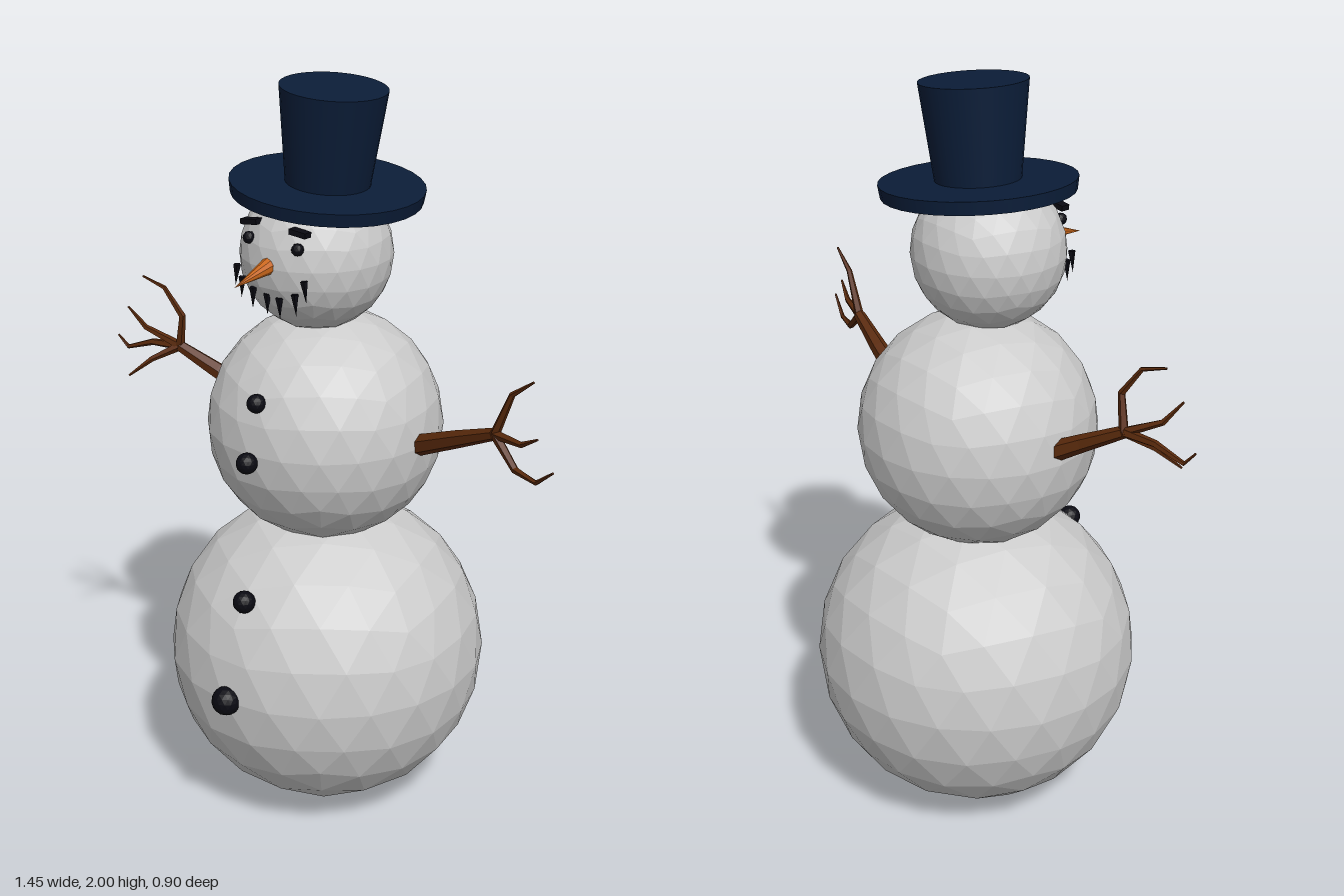
import * as THREE from 'three';

const mat = (color, flatShading = true) => new THREE.MeshStandardMaterial({ color, flatShading });
const snow = mat(0xcccccc), coal = mat(0x0a0a12), wood = mat(0x5a2a0c);
const carrot = mat(0xc8661a), felt = mat(0x0b1d38, false);

function add(parent, name, geometry, material, x = 0, y = 0, z = 0) {
  const mesh = new THREE.Mesh(geometry, material);
  mesh.name = name;
  mesh.position.set(x, y, z);
  parent.add(mesh);
  return mesh;
}

// Faceted ball with one corner at the very top
function ball(radius, detail) {
  const g = new THREE.IcosahedronGeometry(radius, detail);
  return g.rotateX(-Math.atan2((1 + Math.sqrt(5)) / 2, 1));
}

// Tapered six-sided twig through points [x, y, z, radius]
function twig(points, sides = 6) {
  const p = points.map(a => new THREE.Vector3(a[0], a[1], a[2]));
  const pos = [], index = [], n = p.length;
  p.forEach((c, i) => {
    const t = p[Math.min(i + 1, n - 1)].clone().sub(p[Math.max(i - 1, 0)]).normalize();
    const u = new THREE.Vector3(0, 0, 1).cross(t).normalize();
    const v = t.clone().cross(u);
    for (let k = 0; k < sides; k++) {
      const a = k / sides * Math.PI * 2;
      const q = c.clone().addScaledVector(u, Math.cos(a) * points[i][3])
        .addScaledVector(v, Math.sin(a) * points[i][3]);
      pos.push(q.x, q.y, q.z);
    }
  });
  for (let i = 0; i < n - 1; i++) {
    for (let k = 0; k < sides; k++) {
      const a = i * sides + k, b = i * sides + (k + 1) % sides;
      index.push(a, b, b + sides, a, b + sides, a + sides);
    }
  }
  // End caps
  const last = (n - 1) * sides;
  for (let k = 1; k < sides - 1; k++) {
    index.push(0, k + 1, k, last, last + k, last + k + 1);
  }
  const g = new THREE.BufferGeometry();
  g.setAttribute('position', new THREE.Float32BufferAttribute(pos, 3));
  g.setIndex(index);
  g.computeVertexNormals();
  return g;
}

// Branch arm: a thick limb, then fingers that all start at its end
function arm(name, limb, fingers) {
  const group = new THREE.Group();
  group.name = name;
  add(group, 'limb', twig(limb), wood);
  const [x, y, z] = limb[limb.length - 1];
  fingers.forEach(points => {
    const path = [[x, y, z], ...points];
    const radii = path.map((q, i) => 0.013 - 0.010 * i / (path.length - 1));
    add(group, 'finger', twig(path.map((q, i) => [...q, radii[i]]), 5), wood);
  });
  return group;
}

export function createModel() {
  const model = new THREE.Group();
  model.name = 'snowman';

  // Snow balls
  add(model, 'bottomBall', ball(0.432, 3), snow, -0.063, 0.434, -0.017);
  add(model, 'middleBall', ball(0.313, 3), snow, -0.063, 1.093, -0.013);
  add(model, 'head', ball(0.197, 3), snow, -0.063, 1.562, 0.02);

  // Coal buttons: y, z, radius
  [[1.226, 0.272, 0.025], [1.077, 0.313, 0.028], [0.695, 0.335, 0.03], [0.438, 0.414, 0.039]]
    .forEach(([y, z, r]) => add(model, 'button', ball(r, 2), coal, -0.055, y, z));

  // Eyes and brows: x, eye y, brow y, brow tilt
  [[-0.137, 1.624, 1.664, 0.12], [0.019, 1.619, 1.659, -0.08]].forEach(([x, y, by, tilt]) => {
    add(model, 'eye', ball(0.016, 1), coal, x, y, 0.194);
    const brow = add(model, 'brow', new THREE.BoxGeometry(0.052, 0.014, 0.024), coal, x, by, 0.185);
    brow.rotation.z = tilt;
  });

  // Carrot nose, drooping slightly
  const nose = new THREE.ConeGeometry(0.025, 0.15, 10).rotateX(Math.PI / 2);
  add(model, 'nose', nose, carrot, -0.063, 1.556, 0.262).rotation.x = 0.2;

  // Pointed mouth pieces hanging in a curved smile
  [[-0.178, 1.522], [-0.16, 1.493], [-0.124, 1.472], [-0.077, 1.464],
    [-0.037, 1.46], [0.014, 1.478], [0.045, 1.517]].forEach(([x, y], i) => {
    const tooth = new THREE.ConeGeometry(0.01, 0.055, 5).rotateX(Math.PI);
    add(model, 'mouthPiece', tooth, coal, x, y, 0.198).rotation.z = (i - 3) * 0.04;
  });

  // Tilted top hat
  const hat = new THREE.Group();
  hat.name = 'hat';
  hat.position.set(-0.038, 1.727, 0.007);
  hat.rotation.set(0.02, 0, -0.1);
  add(hat, 'brim', new THREE.CylinderGeometry(0.248, 0.243, 0.034, 32), felt);
  add(hat, 'crown', new THREE.CylinderGeometry(0.136, 0.106, 0.26, 32), felt, 0, 0.128, 0);
  model.add(hat);

  // Branch arms
  model.add(arm('leftArm',
    [[0.2, 1.08, -0.025, 0.03], [0.38, 1.157, 0.01, 0.023], [0.505, 1.21, 0.038, 0.016]],
    [
      [[0.555, 1.324, 0.045], [0.62, 1.373, 0.055]],
      [[0.605, 1.217, 0.072], [0.663, 1.252, 0.097]],
      [[0.584, 1.145, 0.065], [0.663, 1.142, 0.095], [0.72, 1.188, 0.115]],
    ]));
  model.add(arm('rightArm',
    [[-0.31, 1.1, -0.03, 0.03], [-0.42, 1.162, 0.015, 0.023], [-0.525, 1.22, 0.05, 0.016]],
    [
      [[-0.503, 1.313, 0.06], [-0.552, 1.387, 0.075], [-0.621, 1.409, 0.085]],
      [[-0.614, 1.266, 0.09], [-0.653, 1.324, 0.115]],
      [[-0.615, 1.217, 0.065], [-0.695, 1.19, 0.08], [-0.722, 1.223, 0.09]],
      [[-0.585, 1.183, 0.1], [-0.635, 1.135, 0.142]],
    ]));

  return model;
}
